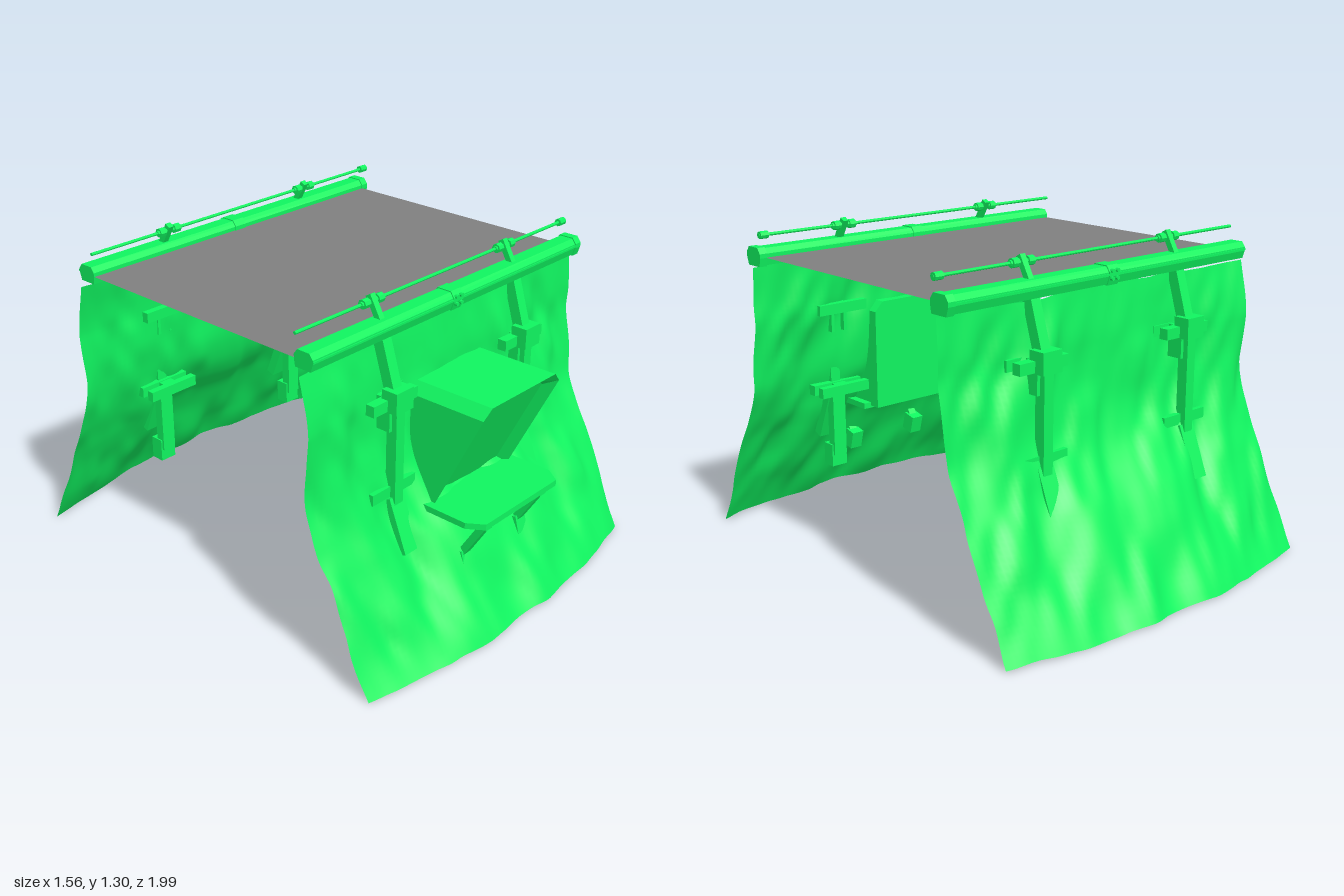
import * as THREE from 'three';

const green = new THREE.MeshStandardMaterial({ color: 0x10f560, side: THREE.DoubleSide });
const flatGreen = new THREE.MeshStandardMaterial({ color: 0x10f560, side: THREE.DoubleSide, flatShading: true });
const grey = new THREE.MeshStandardMaterial({ color: 0x808080, side: THREE.DoubleSide });

function add(parent, name, geometry, material = flatGreen) {
  const mesh = new THREE.Mesh(geometry, material);
  mesh.name = name;
  parent.add(mesh);
  return mesh;
}

// Box given by its limits on each axis
function box(parent, name, x0, x1, y0, y1, z0, z1) {
  const mesh = add(parent, name, new THREE.BoxGeometry(x1 - x0, y1 - y0, z1 - z0));
  mesh.position.set((x0 + x1) / 2, (y0 + y1) / 2, (z0 + z1) / 2);
  return mesh;
}

// Bar of rectangular section running in the y-z plane between [y, z] points
function bar(parent, name, x, width, depth, [y0, z0], [y1, z1]) {
  const mesh = add(parent, name, new THREE.BoxGeometry(width, Math.hypot(y1 - y0, z1 - z0), depth));
  mesh.position.set(x, (y0 + y1) / 2, (z0 + z1) / 2);
  mesh.rotation.x = Math.atan2(z1 - z0, y1 - y0);
  return mesh;
}

// Cylinder lying along x
function rodX(parent, name, x0, x1, y, z, r, sides = 8) {
  const mesh = add(parent, name, new THREE.CylinderGeometry(r, r, x1 - x0, sides).rotateZ(Math.PI / 2));
  mesh.position.set((x0 + x1) / 2, y, z);
  return mesh;
}

// Section in [z, y] extruded along x
function extrudeX(parent, name, points, x0, x1) {
  const shape = new THREE.Shape(points.map(([z, y]) => new THREE.Vector2(-z, y)));
  const geometry = new THREE.ExtrudeGeometry(shape, { depth: x1 - x0, bevelEnabled: false });
  geometry.rotateY(Math.PI / 2).translate(x0, 0, 0);
  return add(parent, name, geometry);
}

// Smooth value noise from a seeded lattice
function hash(i, j) {
  const s = Math.sin(i * 127.1 + j * 311.7 + 4.3) * 43758.5453;
  return s - Math.floor(s);
}
function noise(x, y) {
  const i = Math.floor(x), j = Math.floor(y);
  const u = THREE.MathUtils.smootherstep(x - i, 0, 1), v = THREE.MathUtils.smootherstep(y - j, 0, 1);
  const a = THREE.MathUtils.lerp(hash(i, j), hash(i + 1, j), u);
  const b = THREE.MathUtils.lerp(hash(i, j + 1), hash(i + 1, j + 1), u);
  return THREE.MathUtils.lerp(a, b, v) * 2 - 1;
}

// Rippled wall sheet that flares out to a bowed foot
function rockWall(parent) {
  const profile = new THREE.CatmullRomCurve3([
    [1.14, 0.56], [1.0, 0.575], [0.85, 0.58], [0.65, 0.60], [0.5, 0.645],
    [0.4, 0.69], [0.2, 0.785], [0.005, 0.89],
  ].map(([y, z]) => new THREE.Vector3(0, y, z)));
  const geometry = new THREE.PlaneGeometry(1.55, 1, 80, 64);
  const p = geometry.attributes.position;
  for (let i = 0; i < p.count; i++) {
    const x = p.getX(i), t = 0.5 - p.getY(i);
    const c = profile.getPoint(t);
    const bow = 0.095 * (1 - (x / 0.775) ** 2) * t * t;
    const fold = noise(x * 6 + 20 + c.y, c.y * 3) * 0.028 + noise(x * 14 + 3 + c.y * 4, c.y * 6 + 9) * 0.013;
    const fade = Math.min(1, 0.35 + t * 3) * (t > 0.9 ? 1 - (t - 0.9) * 7 : 1);
    const rag = noise(x * 9 + 5, 2) * 0.008;
    p.setXYZ(i, x + (Math.abs(x) > 0.76 ? noise(c.y * 8, 7) * 0.006 : 0),
      Math.max(0, c.y + rag * Math.abs(2 * t - 1)), c.z + bow + fold * fade);
  }
  geometry.computeVertexNormals();
  add(parent, 'rockWall', geometry, green);
}

// Top rail, clamp and slim rod on brackets
function topRail(parent) {
  const section = [[0.525, 1.15], [0.595, 1.15], [0.605, 1.18], [0.605, 1.195], [0.59, 1.215], [0.535, 1.215], [0.52, 1.195], [0.52, 1.18]];
  extrudeX(parent, 'topBeam', section, -0.745, 0.745);
  box(parent, 'beamRib', -0.745, 0.745, 1.183, 1.19, 0.52, 0.609);
  const grow = section.map(([z, y]) => [0.5625 + (z - 0.5625) * 1.09, 1.1825 + (y - 1.1825) * 1.12]);
  extrudeX(parent, 'beamClamp', grow, -0.028, 0.025);
  extrudeX(parent, 'beamEndCap', grow, 0.737, 0.77);
  for (const x of [-0.014, 0.012]) for (const y of [1.172, 1.2]) {
    const bolt = add(parent, 'clampBolt', new THREE.CylinderGeometry(0.008, 0.008, 0.012, 8).rotateX(Math.PI / 2));
    bolt.position.set(x, y, 0.61);
  }
  rodX(parent, 'rod', -0.745, 0.765, 1.268, 0.525, 0.0065);
  rodX(parent, 'rodEndKnob', 0.727, 0.763, 1.268, 0.525, 0.015);
  for (const c of [-0.373, 0.373]) {
    bar(parent, 'rodBracket', c, 0.024, 0.024, [1.205, 0.565], [1.29, 0.517]);
    for (const s of [-1, 1]) {
      rodX(parent, 'rodCollar', c + s * 0.036 - 0.014, c + s * 0.036 + 0.014, 1.268, 0.525, 0.018);
      rodX(parent, 'rodCollarEnd', c + s * 0.036 - 0.022, c + s * 0.036 + 0.022, 1.268, 0.525, 0.011);
    }
  }
}

// Braced post with head block, cross bars and splayed foot
function post(parent, x) {
  const g = new THREE.Group();
  g.name = 'supportPost';
  g.position.x = x;
  parent.add(g);
  bar(g, 'upperArm', 0, 0.044, 0.045, [1.17, 0.565], [0.93, 0.64]);
  box(g, 'postShaft', -0.022, 0.022, 0.49, 0.95, 0.62, 0.665);
  box(g, 'headBlock', -0.045, 0.045, 0.9, 0.982, 0.615, 0.683);
  for (const s of [-1, 1]) {
    box(g, 'sideRail', s * 0.03 - 0.007, s * 0.03 + 0.007, 0.82, 0.91, 0.58, 0.645);
  }
  for (const y of [0.925, 0.578]) {
    box(g, 'crossBar', -0.115, 0.115, y - 0.021, y + 0.021, 0.605, 0.643);
    box(g, 'rearCrossBar', -0.115, 0.115, y - 0.021, y + 0.021, 0.545, 0.575);
    box(g, 'crossBarTie', -0.03, 0.03, y - 0.018, y + 0.018, 0.555, 0.625);
  }
  bar(g, 'foot', 0, 0.074, 0.04, [0.55, 0.635], [0.35, 0.715]);
  box(g, 'rearPost', -0.03, 0.03, 0.28, 0.56, 0.6, 0.64);
  box(g, 'anchorBlock', -0.036, 0.036, 0.23, 0.325, 0.61, 0.668);
}

// Hooded console with a recessed face leaning inwards to its foot
function console3(parent) {
  const outer = [[-0.225, 0.47], [0.225, 0.47], [0.225, 0.885], [0.187, 0.925], [-0.187, 0.925], [-0.225, 0.885]];
  const inner = [[-0.188, 0.475], [0.188, 0.475], [0.188, 0.865], [0.168, 0.887], [-0.168, 0.887], [-0.188, 0.865]];
  const slope = (y) => 0.905 - 0.487 * (0.88 - y);
  const rings = [
    outer.map(([x, y]) => [x, y, 0.53]),
    outer.map(([x, y]) => [x, y, Math.min(0.915, slope(y))]),
    inner.map(([x, y]) => [x, y, slope(y) - 0.04]),
  ];
  const pos = [], index = [];
  rings.forEach((ring) => ring.forEach((v) => pos.push(...v)));
  for (let r = 0; r < 2; r++) for (let i = 0; i < 6; i++) {
    const a = r * 6 + i, b = r * 6 + (i + 1) % 6;
    index.push(a, b, b + 6, a, b + 6, a + 6);
  }
  for (let i = 1; i < 5; i++) index.push(0, i + 1, i, 12, 12 + i, 13 + i);
  const geometry = new THREE.BufferGeometry();
  geometry.setAttribute('position', new THREE.Float32BufferAttribute(pos, 3));
  geometry.setIndex(index);
  const flat = geometry.toNonIndexed();
  flat.computeVertexNormals();
  add(parent, 'consoleHood', flat);

  // Shelf with cut corners
  const shelf = new THREE.Shape([[-0.258, -0.58], [-0.258, -0.875], [-0.215, -0.937], [0.215, -0.937], [0.258, -0.875], [0.258, -0.58]]
    .map(([x, y]) => new THREE.Vector2(x, y)));
  const shelfMesh = add(parent, 'shelf', new THREE.ExtrudeGeometry(shelf, { depth: 0.024, bevelEnabled: false }).rotateX(-Math.PI / 2));
  shelfMesh.position.y = 0.46;

  // Shelf struts and their wall blocks
  for (const s of [-1, 1]) {
    box(parent, 'shelfRunner', s * 0.167 - 0.018, s * 0.167 + 0.018, 0.432, 0.46, 0.66, 0.915);
    bar(parent, 'shelfStrut', s * 0.167, 0.036, 0.028, [0.445, 0.9], [0.265, 0.79]);
    bar(parent, 'strutBlock', s * 0.167, 0.056, 0.06, [0.3, 0.79], [0.225, 0.81]);
  }
}

export function createModel() {
  const model = new THREE.Group();
  model.name = 'shelter';

  // Two mirrored sides
  for (const s of [1, -1]) {
    const side = new THREE.Group();
    side.name = s > 0 ? 'frontSide' : 'backSide';
    side.scale.z = s;
    rockWall(side);
    topRail(side);
    post(side, -0.373);
    post(side, 0.373);
    if (s > 0) console3(side);
    model.add(side);
  }

  // Flat roof sheet between the rails
  const roof = add(model, 'roofSheet', new THREE.PlaneGeometry(1.485, 1.05).rotateX(-Math.PI / 2), grey);
  roof.position.y = 1.18;
  return model;
}
